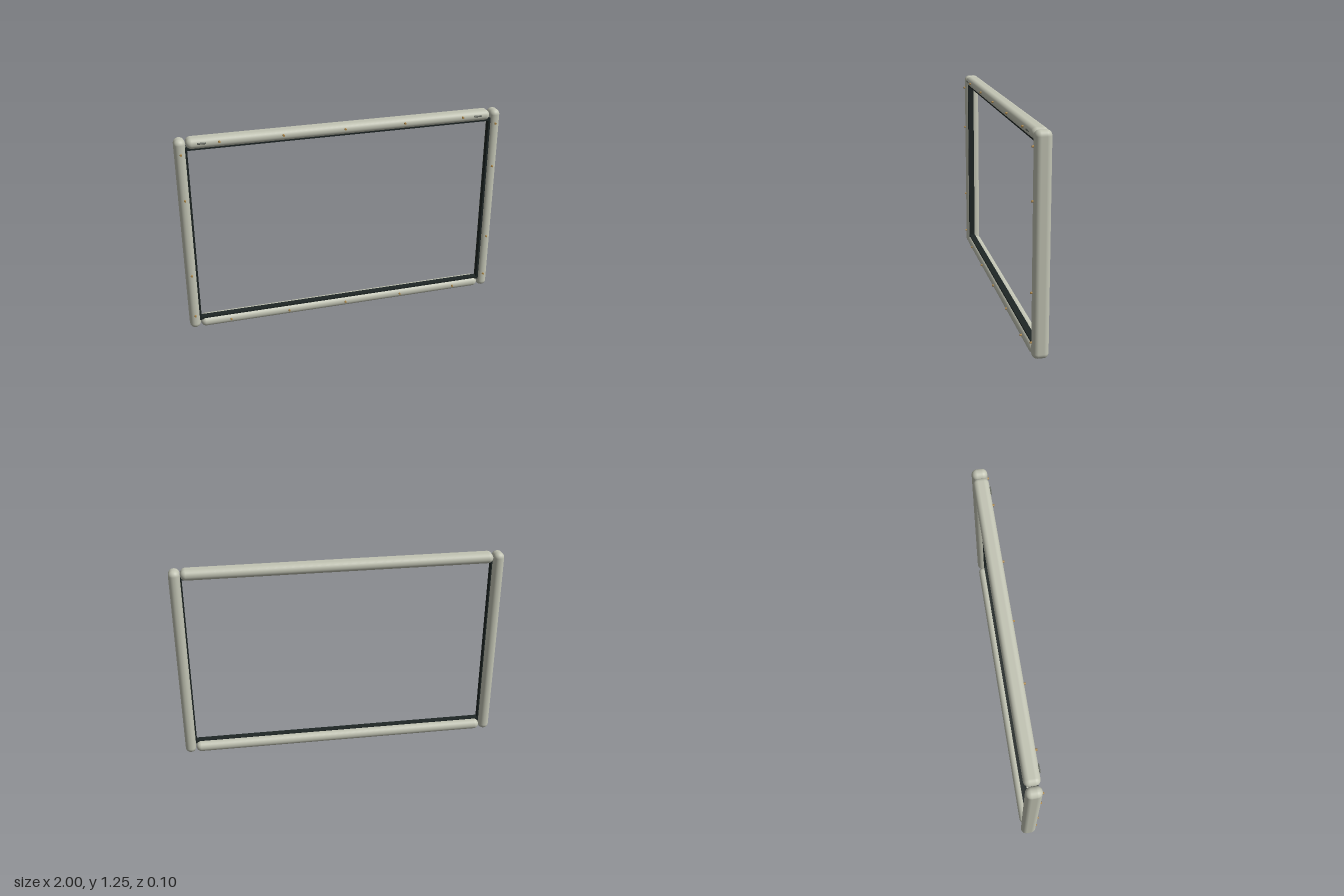
import * as THREE from 'three';
import { RoundedBoxGeometry } from 'three/addons/geometries/RoundedBoxGeometry.js';

export function createModel() {
  const root = new THREE.Group();
  root.name = 'openFrame';

  const mat = (name, color) => {
    const m = new THREE.MeshStandardMaterial({ color });
    m.name = name;
    return m;
  };
  const shell = mat('paleGreyGreen', 0xc2c4b4);
  const rubber = mat('darkRubber', 0x1e2625);
  const brass = mat('brass', 0xb08a4c);
  const slotGrey = mat('slotGrey', 0x6c7068);

  const add = (name, geo, material, x, y, z) => {
    const m = new THREE.Mesh(geo, material);
    m.name = name;
    m.position.set(x, y, z);
    root.add(m);
    return m;
  };

  const H = 1.25, T = 0.066, D = 0.094, ZC = -0.005, FRONT = 0.042;

  // Padded bars: two full-height posts, two rails fitted between them
  const post = new RoundedBoxGeometry(T, H, D, 6, 0.032);
  const rail = new RoundedBoxGeometry(1.864, 0.064, D, 6, 0.0315);
  for (const s of [-1, 1]) {
    const side = s < 0 ? 'right' : 'left';
    add(side + 'Post', post, shell, s * (1 - T / 2), H / 2, ZC);
    // Dark seal on the inner face, set toward the front
    add(side + 'Seal', new THREE.BoxGeometry(0.016, H - 0.1, 0.038), rubber, s * 0.935, H / 2, 0.008);
  }
  add('bottomRail', rail, shell, 0, 0.032, ZC);
  add('topRail', rail, shell, 0, H - 0.032, ZC);
  const railSeal = new THREE.BoxGeometry(1.86, 0.016, 0.038);
  add('bottomSeal', railSeal, rubber, 0, 0.061, 0.008);
  add('topSeal', railSeal, rubber, 0, H - 0.061, 0.008);

  // Small round-headed studs along the front
  const stud = new THREE.CylinderGeometry(0.0055, 0.007, 0.012, 12);
  stud.rotateX(Math.PI / 2);
  const studZ = FRONT + 0.004;
  for (const x of [-0.745, -0.372, 0, 0.372, 0.745]) {
    add('topStud', stud, brass, x, H - 0.026, studZ);
    add('bottomStud', stud, brass, x, 0.035, studZ);
  }
  for (const y of [0.095, 0.38, 0.88, 1.165]) {
    for (const s of [-1, 1]) add('postStud', stud, brass, s * 0.966, y, studZ);
  }

  // Slim plates near the ends of the top rail
  const plate = new RoundedBoxGeometry(0.05, 0.011, 0.009, 3, 0.004);
  for (const s of [-1, 1]) add('slotPlate', plate, slotGrey, s * 0.845, H - 0.026, FRONT + 0.002);

  return root;
}
